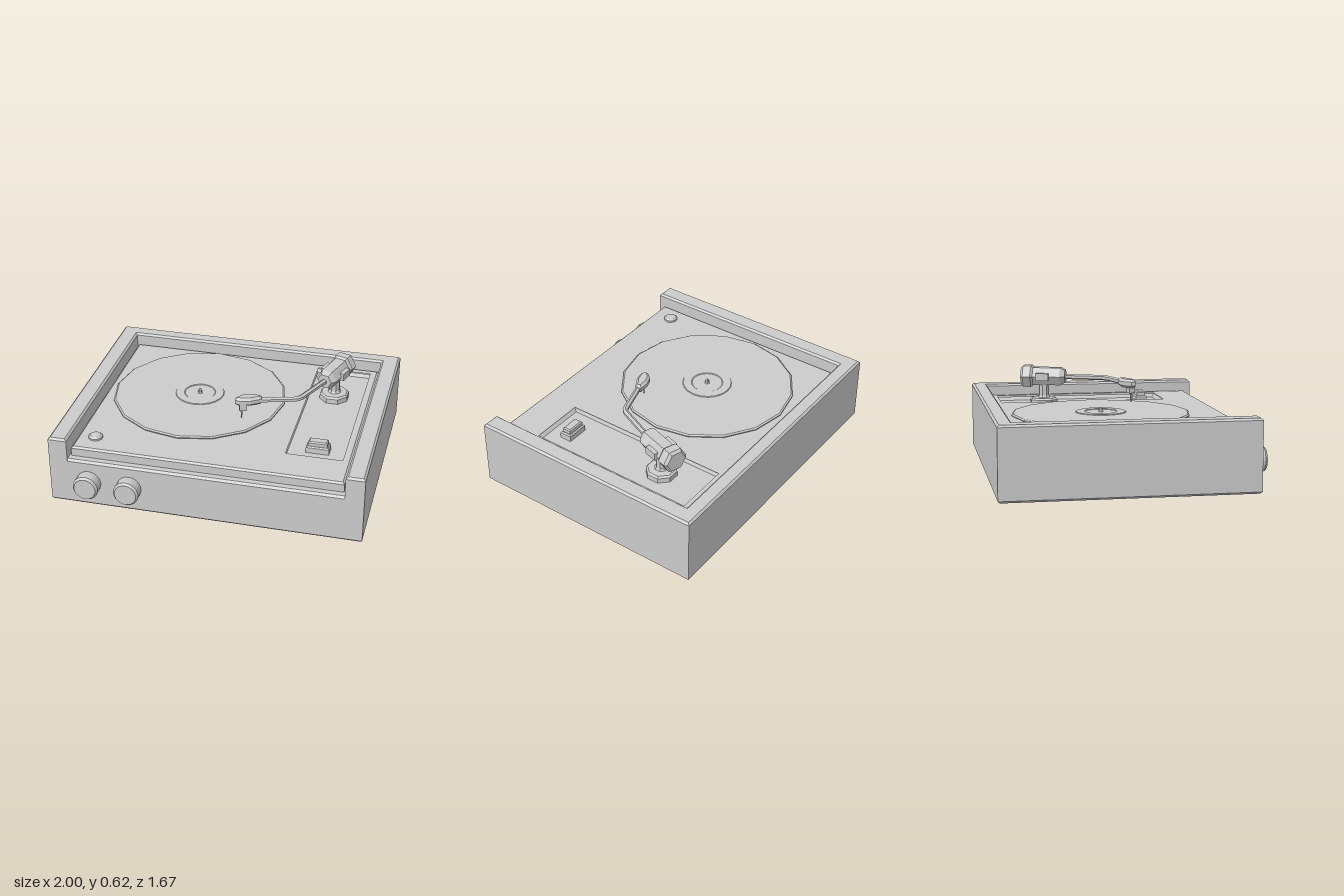
import * as THREE from 'three';

const mat = new THREE.MeshStandardMaterial({ color: 0xcccccc, flatShading: true });
const matDouble = new THREE.MeshStandardMaterial({ color: 0xcccccc, flatShading: true, side: THREE.DoubleSide });

function add(parent, name, geo, x = 0, y = 0, z = 0, material = mat) {
  const m = new THREE.Mesh(geo, material);
  m.name = name;
  m.position.set(x, y, z);
  parent.add(m);
  return m;
}

// Outline given as [x, z] points
const outline = (pts, Type = THREE.Shape) => new Type(pts.map(([x, z]) => new THREE.Vector2(x, -z)));
const rect = (x0, x1, z0, z1) => [[x0, z0], [x1, z0], [x1, z1], [x0, z1]];

// Plan outline raised from y0 to y1 with chamfered edges
function slab(shape, y0, y1, b) {
  const g = new THREE.ExtrudeGeometry(shape, {
    depth: y1 - y0 - 2 * b, bevelEnabled: b > 0, bevelSize: b, bevelThickness: b,
    bevelOffset: -b, bevelSegments: 1, curveSegments: 6,
  });
  return g.rotateX(-Math.PI / 2).translate(0, y0 + b, 0);
}

// Turned part from [radius, height] points
const turned = (pts, sides) => new THREE.LatheGeometry(pts.map(([r, y]) => new THREE.Vector2(r, y)), sides);

// Tray surface: sloping walls from an upper rectangle down to a floor
function tray(top, y1, floor, y0) {
  const pos = [], idx = [8 - 4, 7, 6, 4, 6, 5];
  top.forEach(([x, z]) => pos.push(x, y1, z));
  floor.forEach(([x, z]) => pos.push(x, y0, z));
  for (let i = 0; i < 4; i++) {
    const j = (i + 1) % 4;
    idx.push(i, 4 + i, 4 + j, i, 4 + j, j);
  }
  const g = new THREE.BufferGeometry();
  g.setAttribute('position', new THREE.Float32BufferAttribute(pos, 3));
  g.setIndex(idx);
  g.computeVertexNormals();
  return g;
}

export function createModel() {
  const root = new THREE.Group();
  root.name = 'turntable';

  // Plinth: side and back rails in one U, open at the front
  const frame = outline([[-1, 0.75], [-1, -0.84], [1, -0.84], [1, 0.75],
    [0.88, 0.75], [0.88, -0.74], [-0.88, -0.74], [-0.88, 0.75]].reverse());
  add(root, 'plinthFrame', slab(frame, 0, 0.46, 0.013));

  // Front panel and core below the deck, profile in (z, y)
  const core = new THREE.Shape([[-0.76, 0.005], [0.737, 0], [0.75, 0.013], [0.75, 0.305], [0.737, 0.32], [-0.76, 0.32]]
    .map(([z, y]) => new THREE.Vector2(-z, y)));
  const coreGeo = new THREE.ExtrudeGeometry(core, { depth: 1.79, bevelEnabled: false });
  add(root, 'frontPanel', coreGeo.rotateY(Math.PI / 2).translate(-0.895, 0, 0));

  // Deck plate with the tray opening
  const deck = outline(rect(-0.868, 0.868, -0.728, 0.7));
  const hole = rect(0.442, 0.828, -0.688, 0.468);
  deck.holes.push(outline(hole, THREE.Path));
  add(root, 'deck', slab(deck, 0.3, 0.385, 0.012));
  add(root, 'armTray', tray(hole, 0.374, rect(0.452, 0.815, -0.675, 0.45), 0.35), 0, 0, 0, matDouble);

  // Record, label and spindle
  const record = new THREE.Group();
  record.name = 'record';
  record.position.set(-0.245, 0, -0.107);
  root.add(record);
  add(record, 'disc', turned([[0, 0.385], [0.56, 0.39], [0.575, 0.398], [0.575, 0.404], [0.565, 0.411], [0, 0.411]], 16));
  add(record, 'labelRing', turned([[0.165, 0.408], [0.16, 0.416], [0.105, 0.416], [0.1, 0.412], [0, 0.412]], 20));
  add(record, 'spindle', turned([[0.018, 0.41], [0.013, 0.42], [0.011, 0.435], [0.005, 0.442], [0, 0.442]], 8));

  // Deck controls
  add(root, 'roundButton', turned([[0.045, 0.38], [0.045, 0.397], [0.033, 0.408], [0, 0.413]], 16), -0.752, 0, 0.56);
  add(root, 'switch', slab(outline(rect(0.565, 0.713, 0.283, 0.363)), 0.34, 0.395, 0.008));
  add(root, 'switchCap', slab(outline(rect(0.578, 0.7, 0.293, 0.353)), 0.385, 0.425, 0.008));

  // Front knobs
  for (const x of [-0.745, -0.48]) {
    const g = turned([[0.08, 0], [0.082, 0.07], [0.07, 0.085], [0.066, 0.083], [0, 0.083]], 24);
    add(root, 'knob', g.rotateX(Math.PI / 2), x, 0.167, 0.75);
  }

  // Tonearm stand
  const stand = turned([[0.1, 0.345], [0.1, 0.383], [0.088, 0.395], [0.045, 0.397], [0.036, 0.41], [0.036, 0.5], [0, 0.5]], 8);
  add(root, 'armStand', stand.rotateY(Math.PI / 8), 0.62, 0, -0.365);

  // Pivot housing and counterweight, hexagonal bars along the arm axis
  const pivot = new THREE.Group();
  pivot.name = 'armPivot';
  pivot.position.set(0.62, 0.545, -0.365);
  pivot.rotation.y = -0.31;
  root.add(pivot);
  const hexBar = (pts) => turned(pts, 6).rotateY(Math.PI / 6).rotateX(Math.PI / 2);
  add(pivot, 'housing', hexBar([[0, -0.08], [0.07, -0.08], [0.07, 0.12], [0.05, 0.155], [0, 0.155]]));
  add(pivot, 'counterweight', hexBar([[0, -0.155], [0.068, -0.155], [0.085, -0.138], [0.085, -0.085], [0.07, -0.07], [0, -0.07]]));
  for (const s of [-1, 1]) add(pivot, 'pivotBracket', new THREE.BoxGeometry(0.03, 0.05, 0.09), s * 0.07, 0, 0);

  // Bent arm tube
  const path = new THREE.CurvePath();
  const v = (x, z) => new THREE.Vector3(x, 0.543, z);
  path.add(new THREE.LineCurve3(v(0.59, -0.26), v(0.468, 0.015)));
  path.add(new THREE.QuadraticBezierCurve3(v(0.468, 0.015), v(0.455, 0.045), v(0.425, 0.055)));
  path.add(new THREE.LineCurve3(v(0.425, 0.055), v(0.17, 0.13)));
  add(root, 'armTube', new THREE.TubeGeometry(path, 32, 0.018, 6, false));

  // Headshell, cartridge and needle
  const shell = outline([[0.063, 0.152], [0.095, 0.112], [0.152, 0.091], [0.22, 0.09],
    [0.23, 0.128], [0.165, 0.171], [0.095, 0.188], [0.066, 0.182]].reverse());
  add(root, 'headshell', slab(shell, 0.515, 0.573, 0.016));
  const cartridge = add(root, 'cartridge', new THREE.BoxGeometry(0.045, 0.05, 0.04), 0.11, 0.505, 0.157);
  cartridge.rotation.y = 0.3;
  add(root, 'needle', new THREE.CylinderGeometry(0.008, 0.003, 0.07, 6), 0.103, 0.455, 0.157);

  return root;
}
